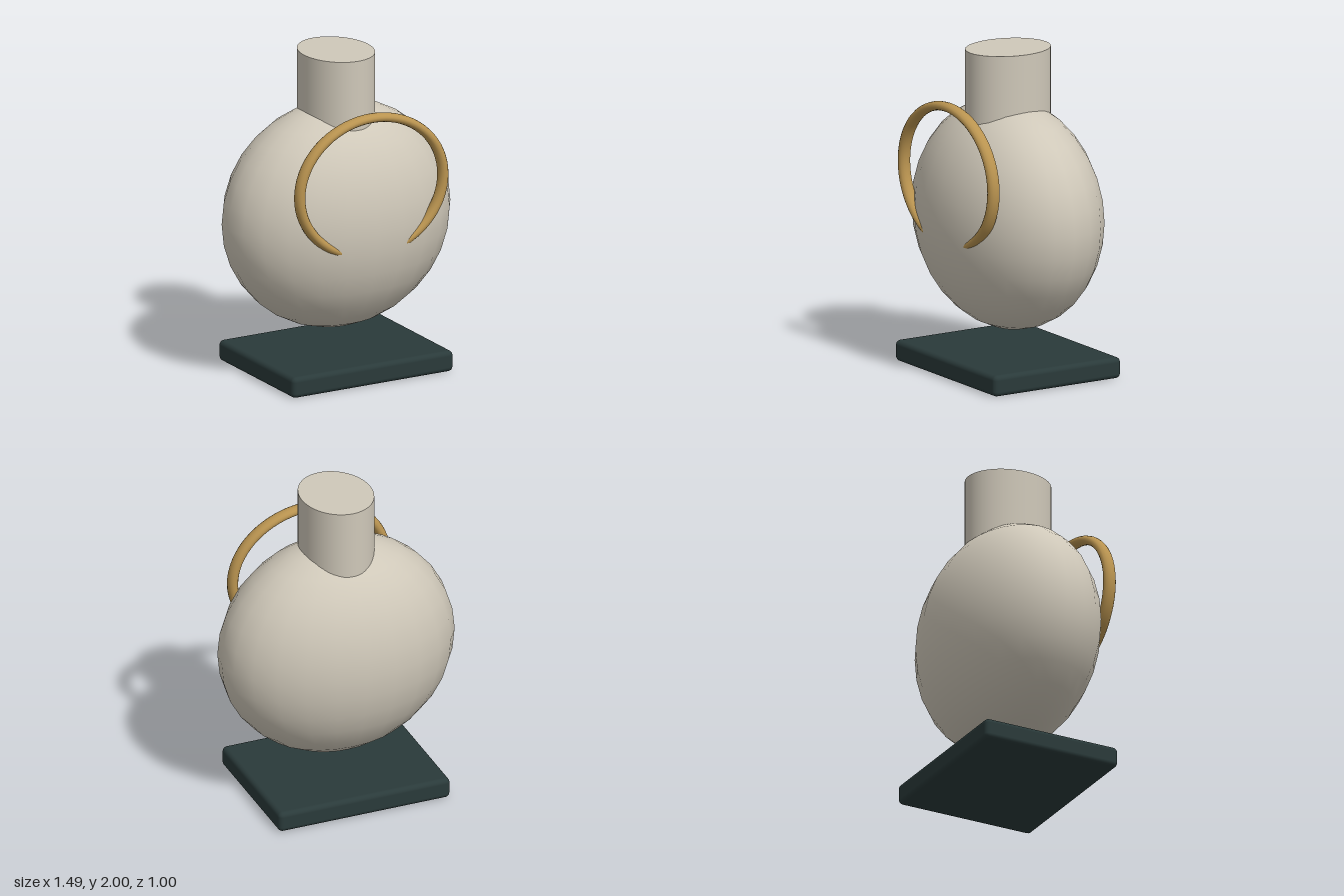
import * as THREE from 'three';
import { RoundedBoxGeometry } from 'three/addons/geometries/RoundedBoxGeometry.js';

const material = (name, color) => {
  const m = new THREE.MeshStandardMaterial({ color });
  m.name = name;
  return m;
};

export function createModel() {
  const ivory = material('ivory', 0xcfc8b9);
  const gold = material('gold', 0xba9450);
  const slate = material('dark slate', 0x2a3a3a);

  const group = new THREE.Group();
  const add = (name, geometry, mat, position, scale = [1, 1, 1]) => {
    const mesh = new THREE.Mesh(geometry, mat);
    mesh.name = name;
    mesh.position.set(...position);
    mesh.scale.set(...scale);
    group.add(mesh);
  };

  // Plinth with softened edges
  add('base', new RoundedBoxGeometry(1.12, 0.13, 0.91, 3, 0.03), slate, [0, 0.065, 0]);

  // Flattened round body
  add('body', new THREE.SphereGeometry(1, 24, 16), ivory, [0, 0.972, 0], [0.747, 0.706, 0.498]);

  // Oval neck, sunk into the body
  add('neck', new THREE.CylinderGeometry(1, 1, 0.6, 48), ivory, [0, 1.7, 0], [0.223, 1, 0.272]);

  // Oval ring on the front, its lower part buried in the body
  add('ring', new THREE.TorusGeometry(1, 0.065, 14, 72), gold, [0, 1.253, 0.425], [0.498, 0.429, 0.62]);

  return group;
}
